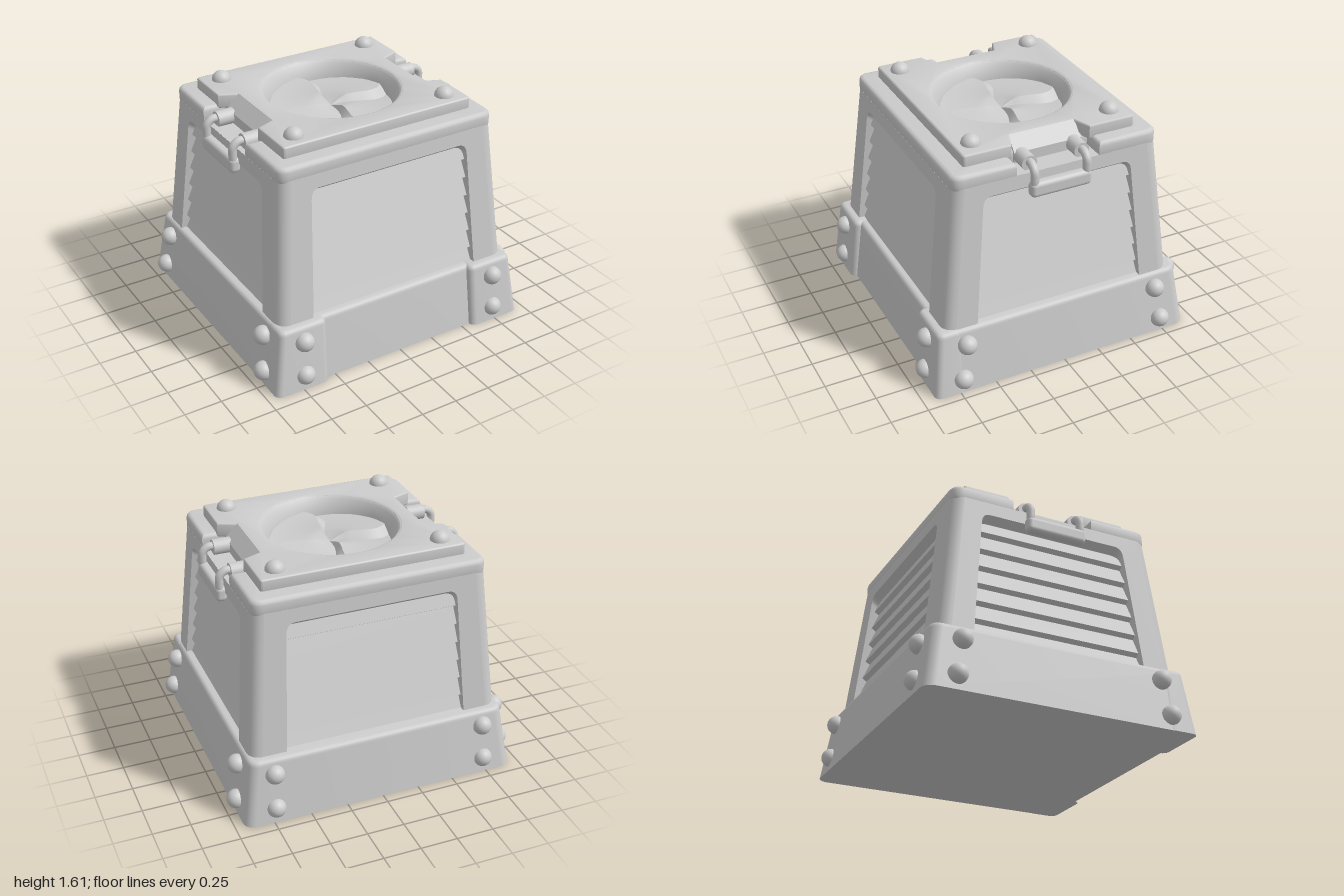
import * as THREE from 'three';
import { toCreasedNormals, mergeVertices } from 'three/addons/utils/BufferGeometryUtils.js';
import { RoundedBoxGeometry } from 'three/addons/geometries/RoundedBoxGeometry.js';

const grey = new THREE.MeshStandardMaterial({ color: 0xcccccc });
const greyThin = new THREE.MeshStandardMaterial({ color: 0xcccccc, side: THREE.DoubleSide });
const V = (x, y, z) => new THREE.Vector3(x, y, z);

// Tapered body: half width and half depth at a height
const Y0 = 0.42, CAP = 1.39, R = 0.08;
const taper = (a, b) => (y) => a + (b - a) * (y - 0.44) / (1.475 - 0.44);
const hx = taper(0.86, 0.78), hz = taper(0.815, 0.70);

export function createModel() {
  const model = new THREE.Group();
  const add = (name, geo, parent = model, mat = grey) => {
    const mesh = new THREE.Mesh(geo, mat);
    mesh.name = name;
    parent.add(mesh);
    return mesh;
  };
  const crease = (geo, angle = 0.6) => toCreasedNormals(geo, angle);

  // Solid through stacked rings, closed at both ends
  function loft(rings) {
    const n = rings[0].length, pos = [], idx = [];
    rings.forEach((ring) => ring.forEach((p) => pos.push(p.x, p.y, p.z)));
    for (let i = 0; i < rings.length - 1; i++) {
      for (let j = 0; j < n; j++) {
        const a = i * n + j, b = i * n + (j + 1) % n;
        idx.push(a, a + n, b, b, a + n, b + n);
      }
    }
    [rings[0], rings[rings.length - 1]].forEach((ring, end) => {
      const c = ring.reduce((s, p) => s.add(p), V(0, 0, 0)).divideScalar(n);
      const ci = pos.length / 3, o = end ? (rings.length - 1) * n : 0;
      pos.push(c.x, c.y, c.z);
      for (let j = 0; j < n; j++) {
        const p = o + j, q = o + (j + 1) % n;
        if (end) idx.push(ci, q, p); else idx.push(ci, p, q);
      }
    });
    const geo = new THREE.BufferGeometry();
    geo.setAttribute('position', new THREE.Float32BufferAttribute(pos, 3));
    geo.setIndex(idx);
    return crease(geo);
  }
  function arc(cx, y, cz, r, start, steps = 6) {
    return Array.from({ length: steps + 1 }, (_, i) => {
      const t = start + (i / steps) * Math.PI / 2;
      return V(cx + r * Math.cos(t), y, cz + r * Math.sin(t));
    });
  }
  const rectRing = (y, x0, x1, z0, z1, r) => [
    [x1 - r, z1 - r], [x0 + r, z1 - r], [x0 + r, z0 + r], [x1 - r, z0 + r],
  ].flatMap(([x, z], k) => arc(x, y, z, r, k * Math.PI / 2));

  // Block with sloping sides and a rounded top edge; b and t are [x0, x1, z0, z1]
  function slopedBlock(b, t, top, r, e) {
    const rings = [rectRing(0, ...b, r), rectRing(top - e, ...t, r)];
    for (let i = 1; i <= 4; i++) {
      const a = i / 4 * Math.PI / 2, s = e * (1 - Math.cos(a)) * 0.9;
      rings.push(rectRing(top - e + e * Math.sin(a), t[0] + s, t[1] - s, t[2] + s, t[3] - s, r - s));
    }
    return loft(rings);
  }
  add('base', slopedBlock([-0.94, 0.94, -0.93, 0.88], [-0.885, 0.885, -0.872, 0.83], 0.44, 0.07, 0.035));
  add('leftCornerPlate', slopedBlock([0.56, 0.943, 0.7, 0.917], [0.55, 0.888, 0.7, 0.872], 0.443, 0.045, 0.035));
  add('rightCornerPlate', slopedBlock([-0.943, -0.56, 0.7, 0.917], [-0.888, -0.55, 0.7, 0.872], 0.443, 0.045, 0.035));

  // Body: four rounded corners, four window frames with louvers
  [[1, 1], [-1, 1], [-1, -1], [1, -1]].forEach(([sx, sz], k) => {
    const ring = (y) => {
      const cx = sx * (hx(y) - R), cz = sz * (hz(y) - R);
      return [...arc(cx, y, cz, R, k * Math.PI / 2), V(cx, y, cz)];
    };
    add('bodyCorner', loft([ring(Y0), ring(CAP)]));
  });
  function windowFrame(width, face, w0, w1) {
    const x0 = width(Y0) - R, x1 = width(CAP) - R, r = 0.065, top = 1.30, depth = 0.08;
    const s = new THREE.Shape();
    s.moveTo(-x0, Y0);
    s.lineTo(-w0, Y0);
    s.lineTo(-w1, top - r);
    s.quadraticCurveTo(-w1 + 0.005, top, -w1 + r, top);
    s.lineTo(w1 - r, top);
    s.quadraticCurveTo(w1 - 0.005, top, w1, top - r);
    s.lineTo(w0, Y0);
    s.lineTo(x0, Y0);
    s.lineTo(x1, CAP);
    s.lineTo(-x1, CAP);
    const geo = new THREE.ExtrudeGeometry(s, { depth, bevelEnabled: false, curveSegments: 8 });
    const p = geo.attributes.position;
    for (let i = 0; i < p.count; i++) {
      const y = p.getY(i), inner = p.getZ(i) < depth / 2;
      p.setZ(i, face(y) - depth + p.getZ(i));
      if (inner && y > 1.1 && y < 1.35) p.setY(i, y - 0.06); // window head slopes inwards
    }
    return crease(geo);
  }
  function louvers(face, half) {
    const s = new THREE.Shape();
    s.moveTo(face(Y0) - 0.2, Y0);
    s.lineTo(face(Y0) - 0.032, Y0);
    for (let k = 0; k < 6; k++) {
      const y = 0.52 + 0.128 * k;
      s.lineTo(face(y) - 0.065, y);
      s.lineTo(face(y + 0.02) - 0.032, y + 0.02);
    }
    s.lineTo(face(1.29) - 0.065, 1.29);
    s.lineTo(face(1.29) - 0.2, 1.29);
    const geo = new THREE.ExtrudeGeometry(s, { depth: 2 * half, bevelEnabled: false });
    return geo.translate(0, 0, -half).rotateY(-Math.PI / 2);
  }
  for (let k = 0; k < 4; k++) {
    const [width, face, w0, w1] = k % 2 ? [hz, hx, 0.592, 0.515] : [hx, hz, 0.62, 0.575];
    add('windowFrame', windowFrame(width, face, w0, w1).rotateY(k * Math.PI / 2));
    add('louvers', louvers(face, w0 + 0.01).rotateY(k * Math.PI / 2));
  }

  // Flat plate with a round opening and a notch on each side
  function plate(x, z, r, notch, hole, y, height, bevel) {
    const [nx, zIn, zOut] = notch, s = new THREE.Shape();
    s.moveTo(x, zOut);
    s.lineTo(x, z - r);
    s.quadraticCurveTo(x, z, x - r, z);
    s.lineTo(-x + r, z);
    s.quadraticCurveTo(-x, z, -x, z - r);
    [[-x, zOut], [-nx, zIn], [-nx, -zIn], [-x, -zOut], [-x, -z + r]].forEach((p) => s.lineTo(...p));
    s.quadraticCurveTo(-x, -z, -x + r, -z);
    s.lineTo(x - r, -z);
    s.quadraticCurveTo(x, -z, x, -z + r);
    [[x, -zOut], [nx, -zIn], [nx, zIn]].forEach((p) => s.lineTo(...p));
    s.holes.push(new THREE.Path().absarc(0, 0, hole, 0, Math.PI * 2, true));
    const geo = new THREE.ExtrudeGeometry(s, {
      depth: height - bevel, bevelThickness: bevel, bevelSize: bevel, bevelOffset: -bevel,
      bevelSegments: 3, curveSegments: 24,
    });
    return crease(geo.rotateX(-Math.PI / 2).translate(0, y, 0));
  }
  add('bodyTop', plate(0.786, 0.709, R, [0.63, 0.285, 0.285], 0.42, CAP, 0.085, 0.03));
  add('lid', plate(0.685, 0.59, 0.02, [0.56, 0.22, 0.27], 0.45, 1.465, 0.085, 0.012));

  // Round vent well and its swirling blades
  const well = [[0.468, 1.552], [0.452, 1.545], [0.442, 1.53], [0.402, 1.47], [0.4, 1.39]];
  add('ventWell', crease(new THREE.LatheGeometry(well.map((p) => new THREE.Vector2(...p)), 64)), model, greyThin);
  const NR = 16, pos = [], idx = [], steps = [0, 0.22, 0.44, 0.66, 0.87, 1];
  for (let k = 0; k < 4; k++) {
    const start = pos.length / 3;
    for (let i = 0; i <= NR; i++) {
      const r = 0.405 * i / NR, bend = 0.26 * Math.sin(Math.PI * (r / 0.45) ** 1.6);
      steps.forEach((t, j) => {
        const a = (k + t) * Math.PI / 2 + bend;
        const lift = 0.045 * Math.min(1, r / 0.12) * (j === 5 ? 0 : t / 0.87);
        pos.push(r * Math.cos(a), 1.42 + lift, r * Math.sin(a));
        if (i < NR && j < 5) {
          const q = start + i * 6 + j;
          idx.push(q, q + 1, q + 6, q + 1, q + 7, q + 6);
        }
      });
    }
  }
  const fan = new THREE.BufferGeometry();
  fan.setAttribute('position', new THREE.Float32BufferAttribute(pos, 3));
  fan.setIndex(idx);
  add('ventBlades', crease(mergeVertices(fan), 0.4), model, greyThin);

  // Rivets on the lid and around the base
  const ball = new THREE.SphereGeometry(0.063, 24, 16);
  const rivet = (x, y, z) => add('rivet', ball).position.set(x, y, z);
  for (const sx of [1, -1]) {
    for (const sz of [1, -1]) {
      rivet(sx * 0.555, 1.547, sz * 0.48);
      rivet(sx * 0.725, 0.34, sz > 0 ? 0.885 : -0.885);
      rivet(sx * 0.73, 0.10, sz > 0 ? 0.9 : -0.91);
      rivet(sx * 0.912, 0.34, sz * 0.685);
      rivet(sx * 0.937, 0.10, sz * 0.725);
    }
  }

  // Side latches: recess, ramp, two barrels, bent arms and a grip
  const ramp = new THREE.Shape([[0.55, 1.36], [0.645, 1.36], [0.645, 1.46], [0.56, 1.549], [0.55, 1.549]]
    .map((p) => new THREE.Vector2(...p)));
  for (const side of [0, 1]) {
    const latch = new THREE.Group();
    latch.name = side ? 'rightLatch' : 'leftLatch';
    latch.rotation.y = side * Math.PI;
    model.add(latch);
    add('recessFloor', new THREE.BoxGeometry(0.185, 0.09, 0.58), latch).position.set(0.693, 1.346, 0);
    add('recessRamp', new THREE.ExtrudeGeometry(ramp, { depth: 0.46, bevelEnabled: false }).translate(0, 0, -0.23), latch);
    for (const s of [1, -1]) {
      const barrel = add('hingeBarrel', new THREE.CylinderGeometry(0.052, 0.052, 0.12, 20), latch);
      barrel.rotation.z = Math.PI / 2;
      barrel.position.set(0.69, 1.432, s * 0.18);
      const path = new THREE.CatmullRomCurve3([[0.72, 1.44], [0.78, 1.44], [0.815, 1.41], [0.82, 1.36], [0.815, 1.29]]
        .map(([x, y]) => V(x, y, s * 0.18)));
      add('latchArm', new THREE.TubeGeometry(path, 20, 0.027, 12), latch);
    }
    add('latchGrip', new RoundedBoxGeometry(0.075, 0.105, 0.42, 4, 0.03), latch).position.set(0.812, 1.287, 0);
  }
  return model;
}
